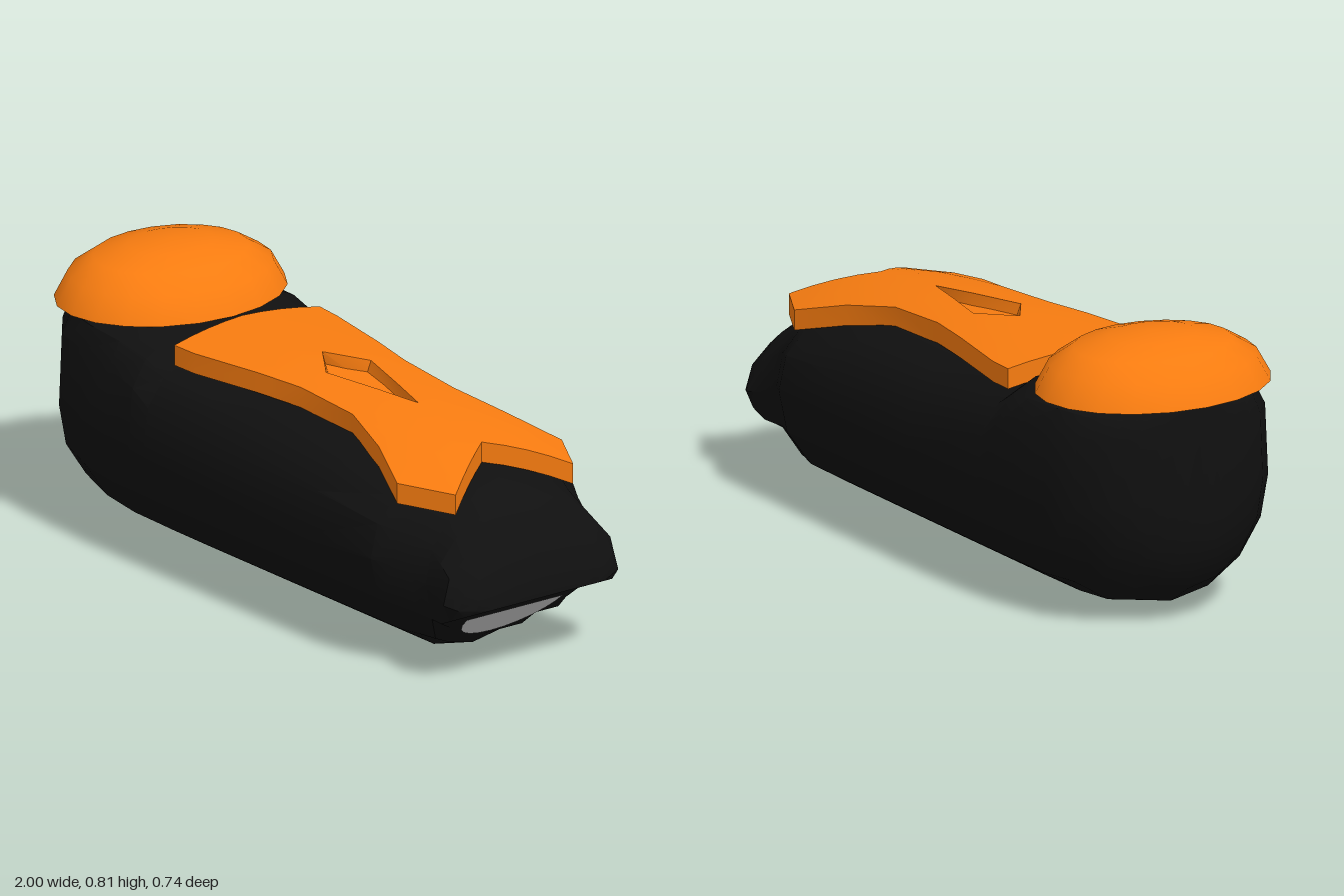
import * as THREE from 'three';
import { toCreasedNormals } from 'three/addons/utils/BufferGeometryUtils.js';

const ORANGE = 0xf87c10, BLACK = 0x101010, GREY = 0xcccccc;

function part(name, geometry, color) {
  const material = new THREE.MeshStandardMaterial({ color, side: THREE.DoubleSide });
  const mesh = new THREE.Mesh(geometry, material);
  mesh.name = name;
  return mesh;
}

// Skin a row of closed rings (running from +z up to +y) along x, with both ends closed
function loft(rings, crease) {
  const n = rings[0].length, index = [];
  for (let i = 0; i < rings.length - 1; i++) {
    for (let j = 0; j < n; j++) {
      const a = i * n + j, b = i * n + (j + 1) % n;
      index.push(a, a + n, b + n, a, b + n, b);
    }
  }
  const last = (rings.length - 1) * n;
  for (let j = 0; j < n / 2 - 1; j++) {
    const [a, b, c, d] = [j, j + 1, n - 2 - j, n - 1 - j];
    index.push(a, b, c, a, c, d);
    index.push(last + a, last + c, last + b, last + a, last + d, last + c);
  }
  const g = new THREE.BufferGeometry();
  g.setAttribute('position', new THREE.Float32BufferAttribute(rings.flat(2), 3));
  g.setIndex(index);
  return toCreasedNormals(g, crease);
}

// Linear interpolation through [x, y] pairs
function lerpTable(table, x) {
  let i = 0;
  while (i < table.length - 2 && x > table[i + 1][0]) i++;
  const [x0, y0] = table[i], [x1, y1] = table[i + 1];
  return y0 + (y1 - y0) * (x - x0) / (x1 - x0);
}

// Body: rounded sections, with the underside of the front end cut by a slope
function buildBody() {
  // x, bottom, top, half width, height of widest point, squareness of upper half
  const sections = [
    [-0.98, 0.34, 0.67, 0.07, 0.48, 5],
    [-0.965, 0.24, 0.67, 0.13, 0.44, 5],
    [-0.94, 0.18, 0.67, 0.19, 0.4, 5],
    [-0.9, 0.1, 0.67, 0.25, 0.38, 5],
    [-0.81, 0.04, 0.67, 0.325, 0.36, 5],
    [-0.69, 0.01, 0.67, 0.35, 0.34, 5],
    [-0.55, 0, 0.67, 0.363, 0.33, 4.5],
    [-0.44, 0, 0.655, 0.367, 0.33, 3.6],
    [-0.37, 0, 0.617, 0.37, 0.33, 3],
    [0, 0, 0.612, 0.37, 0.33, 2.6],
    [0.4, 0, 0.592, 0.368, 0.33, 2.5],
    [0.67, 0, 0.56, 0.365, 0.33, 2.3],
    [0.73, 0, 0.545, 0.335, 0.32, 2.3],
    [0.78, 0, 0.53, 0.31, 0.3, 2.3],
    [0.83, 0, 0.512, 0.293, 0.28, 2.3],
    [0.88, 0, 0.48, 0.3, 0.26, 2.3],
    [0.93, 0, 0.425, 0.308, 0.25, 2.3],
    [0.97, 0, 0.35, 0.285, 0.24, 2.3],
    [0.99, 0, 0.295, 0.24, 0.235, 2.3],
    [1, 0, 0.245, 0.19, 0.23, 2.3],
  ];
  const slope = [[-1, 0], [0.68, 0], [0.87, 0.17], [1, 0.23]];
  const rings = sections.map(([x, bottom, top, half, mid, p]) => {
    const ring = [];
    for (let j = 0; j < 16; j++) {
      const a = j * Math.PI / 8, c = Math.cos(a), s = Math.sin(a);
      const e = s > 0 ? 2 / p : 1;
      const z = half * Math.sign(c) * Math.abs(c) ** e;
      const y = s > 0 ? mid + (top - mid) * s ** e : mid + (mid - bottom) * s;
      ring.push([x, Math.max(y, lerpTable(slope, x)), z]);
    }
    return ring;
  });
  return part('body', loft(rings, 0.6), BLACK);
}

// Plate height along the centre line, falling away toward the sides
const ridge = [[-0.385, 0.677], [0, 0.672], [0.4, 0.647], [0.71, 0.61], [0.86, 0.575]];
const plateY = (x, z) => lerpTable(ridge, x) - (0.5 + 0.32 * x) * z * z;

// One half of the top plate; the inner edge opens into the diamond recess
function plateHalf() {
  // x at centre, half width of the recess, x at side, half width of the plate
  const rows = [
    [-0.385, 0, -0.365, 0.26],
    [-0.28, 0, -0.28, 0.255],
    [-0.02, 0, -0.04, 0.213],
    [0.1, 0.08, 0.12, 0.185],
    [0.28, 0.035, 0.35, 0.18],
    [0.42, 0, 0.53, 0.228],
    [0.58, 0, 0.7, 0.294],
    [0.71, 0, 0.86, 0.21],
  ];
  const steps = [0, 0.25, 0.5, 0.75, 1];
  const rings = rows.map(([xc, hole, xs, half]) => {
    const top = steps.map((s) => {
      const x = xc + (xs - xc) * s, z = hole + (half - hole) * s;
      return [x, plateY(x, z), z];
    });
    const under = top.map(([x, y, z], i) => [x, y - 0.06, i ? z : z * 0.7]);
    return [...under, ...top.reverse()];
  });
  return loft(rings, 0.45);
}

function buildPlate() {
  const plate = new THREE.Group();
  plate.name = 'topPlate';
  const geometry = plateHalf();
  for (const side of [1, -1]) {
    const half = part(side > 0 ? 'plateFrontHalf' : 'plateBackHalf', geometry, ORANGE);
    half.scale.z = side;
    plate.add(half);
  }
  // Floor of the diamond recess
  const outline = [[-0.02, 0], [0.1, 0.08], [0.42, 0], [0.1, -0.08]];
  const floor = new THREE.ShapeGeometry(new THREE.Shape(outline.map(([x, z]) => new THREE.Vector2(x, z))));
  floor.rotateX(-Math.PI / 2);
  const pos = floor.attributes.position;
  for (let i = 0; i < pos.count; i++) pos.setY(i, lerpTable(ridge, pos.getX(i)) - 0.035);
  floor.computeVertexNormals();
  plate.add(part('recessFloor', floor, ORANGE));
  return plate;
}

// Oval domed cap over the rear end
function buildCap() {
  const profile = [[0, 0], [1, 0], [0.88, 0.075], [0.67, 0.12], [0.37, 0.145], [0, 0.155]];
  const dome = new THREE.LatheGeometry(profile.map(([r, y]) => new THREE.Vector2(r, y)), 20);
  dome.scale(0.285, 1, 0.355);
  const cap = part('domedCap', toCreasedNormals(dome, 0.8), ORANGE);
  cap.position.set(-0.715, 0.66, 0);
  return cap;
}

// Half-round lens lying on the sloping underside
function buildLens() {
  const lens = new THREE.CircleGeometry(1, 12, Math.PI, Math.PI);
  const pos = lens.attributes.position;
  for (let i = 0; i < pos.count; i++) {
    const y = 0.16 + 0.1 * pos.getY(i);
    pos.setXYZ(i, 0.684 + y / 0.895, y - 0.002, -0.172 * pos.getX(i));
  }
  lens.computeVertexNormals();
  return part('lens', lens, GREY);
}

export function createModel() {
  const model = new THREE.Group();
  model.name = 'model';
  model.add(buildBody(), buildPlate(), buildCap(), buildLens());
  return model;
}
